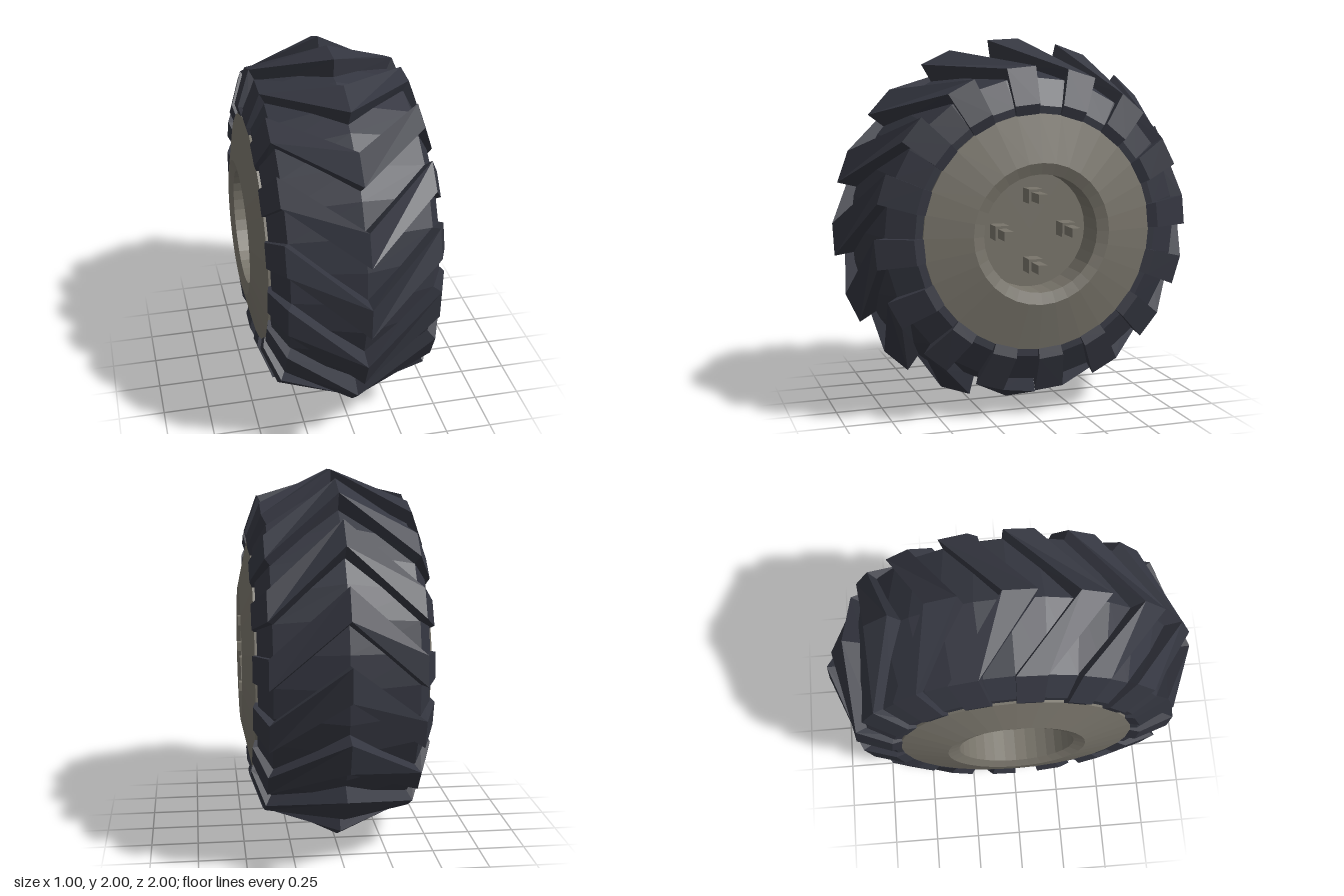
import * as THREE from 'three';

const LUGS = 16;
const RAD = Math.PI / 180;

// Lug cross-sections from centre to rim:
// [x, outer radius, leading angle, trailing angle, inner x, inner radius]
const HALF = [
  [0, 1.0, -8, 2, 0, 0.87],
  [0.39, 0.86, 12, 22.5, 0.34, 0.76],
  [0.46, 0.67, 11, 22.5, 0.41, 0.66],
  [0.445, 0.615, 11, 22.5, 0.41, 0.6],
];

// Angle runs from the top towards -z
const polar = (x, r, deg) => [x, r * Math.cos(deg * RAD), -r * Math.sin(deg * RAD)];

// One chevron lug, lofted across the tread from side to side
function lugGeometry() {
  const mirrored = HALF.slice(1).reverse().map(([x, r, a, b, xi, ri]) => [-x, r, a, b, -xi, ri]);
  const rings = [...mirrored, ...HALF].map(([x, r, a, b, xi, ri]) => [
    polar(x, r, a), polar(x, r, b), polar(xi, ri, b), polar(xi, ri, a),
  ]);
  const pos = [];
  const quad = (a, b, c, d) => pos.push(...a, ...b, ...c, ...a, ...c, ...d);
  for (let i = 0; i < rings.length - 1; i++) {
    for (let k = 0; k < 4; k++) {
      const n = (k + 1) % 4;
      quad(rings[i][k], rings[i + 1][k], rings[i + 1][n], rings[i][n]);
    }
  }
  const first = rings[0], last = rings[rings.length - 1];
  quad(first[0], first[1], first[2], first[3]);
  quad(last[3], last[2], last[1], last[0]);
  const geo = new THREE.BufferGeometry();
  geo.setAttribute('position', new THREE.Float32BufferAttribute(pos, 3));
  geo.computeVertexNormals();
  return geo;
}

// Revolve [radius, x] points around the x axis
function revolve(points, segments) {
  const geo = new THREE.LatheGeometry(points.map(([r, x]) => new THREE.Vector2(r, x)), segments);
  return geo.rotateZ(-Math.PI / 2);
}

export function createModel() {
  const rubber = new THREE.MeshStandardMaterial({ color: 0x343640, flatShading: true, side: THREE.DoubleSide });
  const metal = new THREE.MeshStandardMaterial({ color: 0x78746a, flatShading: true });
  const group = new THREE.Group();
  const wheel = new THREE.Group();
  wheel.name = 'wheel';
  wheel.position.y = 1;
  group.add(wheel);
  const add = (name, geo, mat, parent = wheel) => {
    const mesh = new THREE.Mesh(geo, mat);
    mesh.name = name;
    parent.add(mesh);
    return mesh;
  };

  // Tyre carcass under the lugs
  add('tyreBody', revolve([
    [0.58, -0.43], [0.66, -0.435], [0.8, -0.365], [0.9, 0],
    [0.8, 0.365], [0.66, 0.435], [0.58, 0.43],
  ], 32), rubber);

  // Chevron tread
  const tread = new THREE.Group();
  tread.name = 'tread';
  wheel.add(tread);
  const lug = lugGeometry();
  for (let i = 0; i < LUGS; i++) {
    add('treadLug', lug, rubber, tread).rotation.x = -i * 2 * Math.PI / LUGS;
  }

  // Dished rim with a recessed well on both sides
  add('rim', revolve([
    [0, -0.3], [0.31, -0.3], [0.31, -0.48], [0.37, -0.5], [0.62, -0.445],
    [0.62, 0.445], [0.37, 0.5], [0.31, 0.48], [0.31, 0.3], [0, 0.3],
  ], 32), metal);

  // Four wheel bolts in the +x well: a square nut and a thin stud
  for (let i = 0; i < 4; i++) {
    const a = i * Math.PI / 2;
    const bolt = new THREE.Group();
    bolt.name = 'wheelBolt';
    bolt.position.set(0, 0.185 * Math.cos(a), 0.185 * Math.sin(a));
    wheel.add(bolt);
    add('nut', new THREE.BoxGeometry(0.1, 0.075, 0.075), metal, bolt).position.x = 0.345;
    add('stud', new THREE.BoxGeometry(0.125, 0.048, 0.048), metal, bolt).position.x = 0.4425;
  }
  return group;
}
